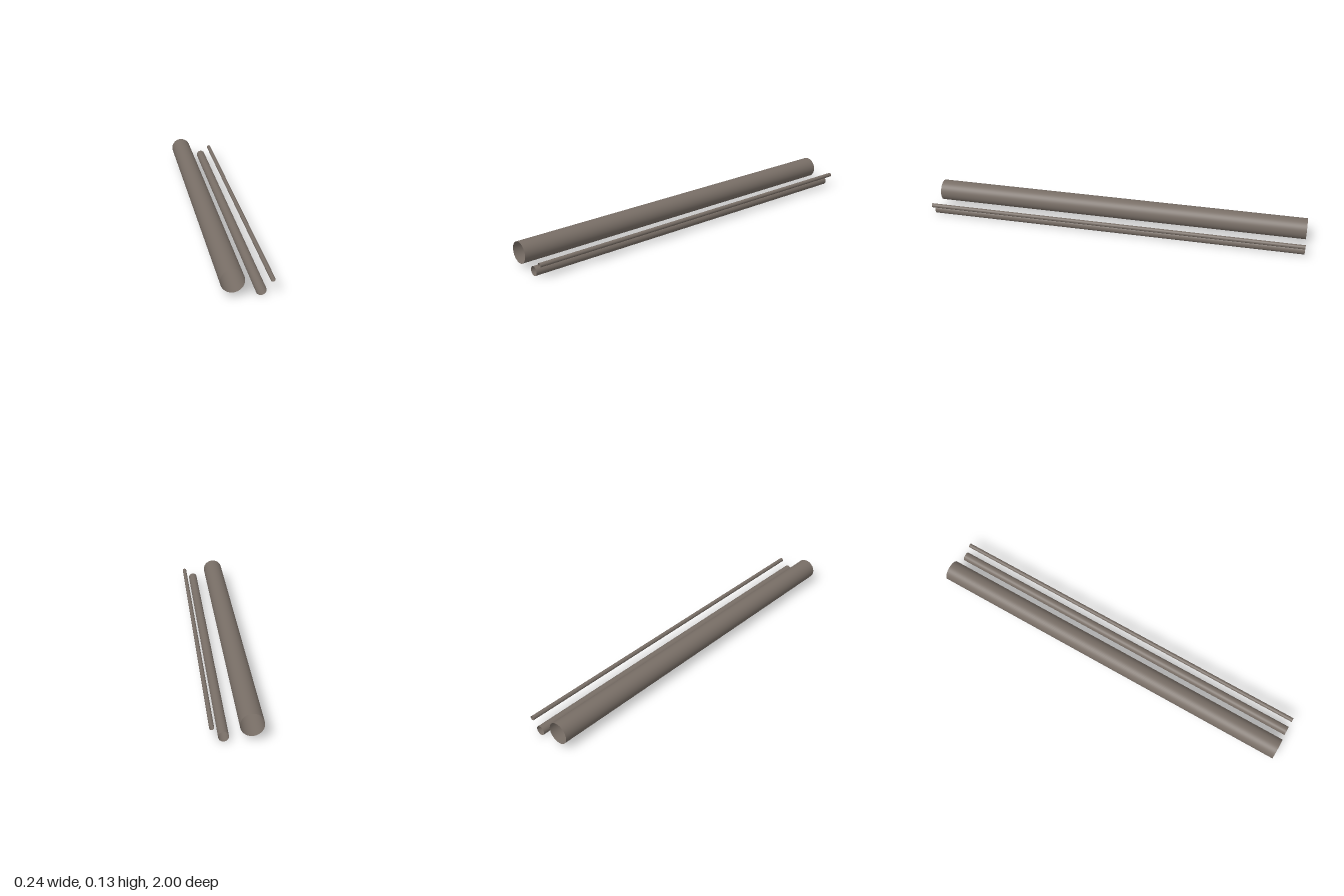
import * as THREE from 'three';

export function createModel() {
  const group = new THREE.Group();
  const metal = new THREE.MeshStandardMaterial({ color: 0x786e66, side: THREE.DoubleSide });
  metal.name = 'dull warm grey metal';

  // Open, thin-walled pipe running the full length along z
  function addPipe(name, radius, x, y) {
    const geometry = new THREE.CylinderGeometry(radius, radius, 2, 48, 1, true);
    geometry.rotateX(Math.PI / 2);
    const pipe = new THREE.Mesh(geometry, metal);
    pipe.name = name;
    pipe.position.set(x, y, 0);
    group.add(pipe);
  }

  addPipe('largePipe', 0.055, -0.067, 0.076);
  addPipe('mediumPipe', 0.024, 0.059, 0.024);
  addPipe('smallPipe', 0.011, 0.111, 0.071);

  return group;
}
